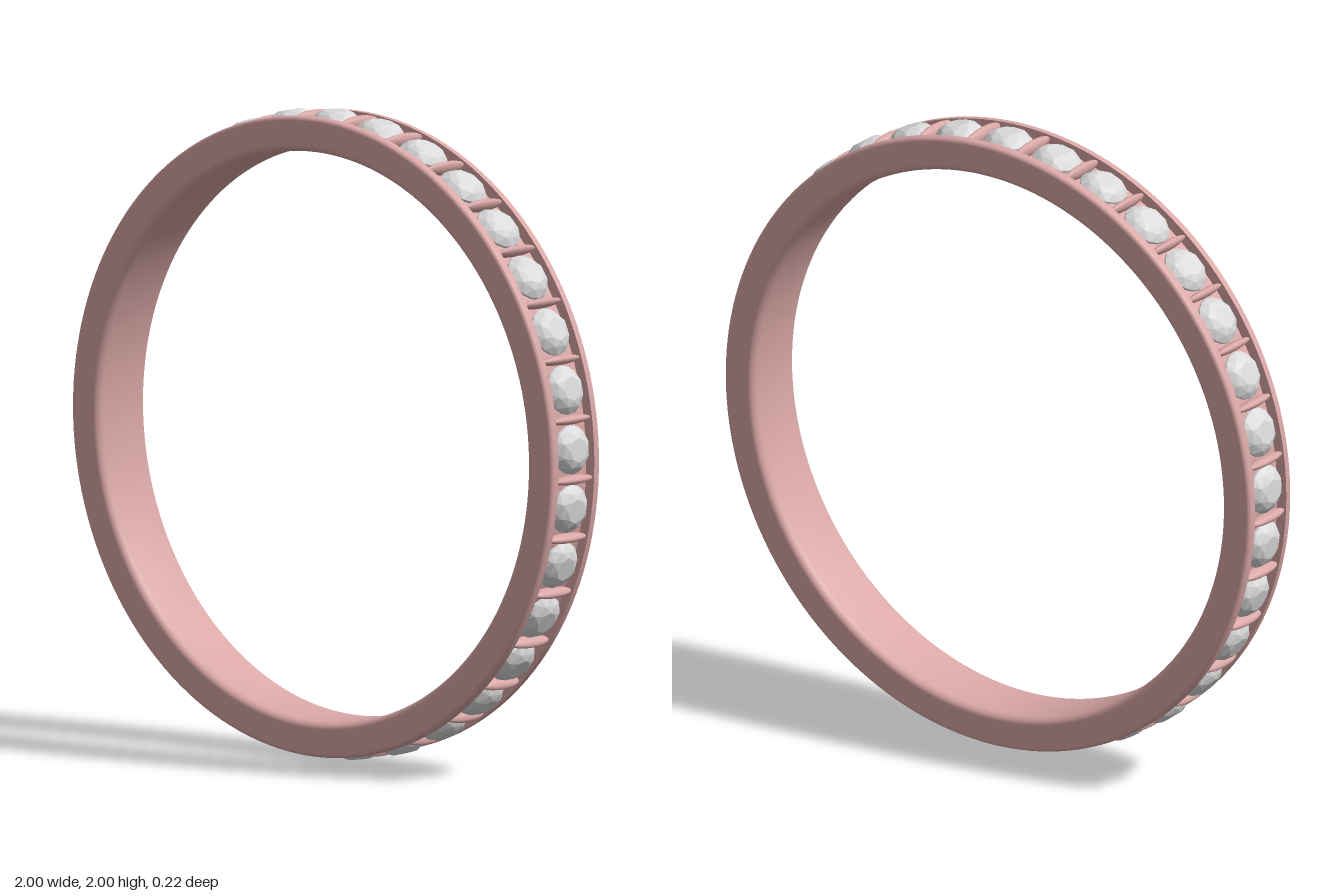
import * as THREE from 'three';
import { ConvexGeometry } from 'three/addons/geometries/ConvexGeometry.js';

const GEMS = 33;
const CENTER_Y = 0.998;
const RIM = 0.989, INNER = 0.876, FLOOR = 0.955; // radii
const HALF = 0.112, CHANNEL = 0.082; // half widths along z

// Points of an elliptical quarter fillet in (radius, z)
function fillet(cx, cz, rx, rz, from, to, steps = 8) {
  return Array.from({ length: steps + 1 }, (_, i) => {
    const a = from + (to - from) * i / steps;
    return new THREE.Vector2(cx + rx * Math.cos(a), cz + rz * Math.sin(a));
  });
}

// Round-cut stone: table, crown points, girdle and a short pavilion
function gemGeometry() {
  const points = [];
  const ring = (n, radius, h, turn) => {
    for (let i = 0; i < n; i++) {
      const a = (i + turn) / n * Math.PI * 2;
      points.push(new THREE.Vector3(radius * Math.cos(a), h, radius * Math.sin(a)));
    }
  };
  ring(8, 0.038, 0.034, 0);
  ring(8, 0.059, 0.024, 0.5);
  ring(16, 0.076, 0.004, 0);
  ring(16, 0.076, -0.003, 0);
  points.push(new THREE.Vector3(0, -0.05, 0));
  return new ConvexGeometry(points);
}

export function createModel() {
  const model = new THREE.Group();
  const roseGold = new THREE.MeshStandardMaterial({ color: 0xd9a7a6 });
  roseGold.name = 'rose gold';
  const stone = new THREE.MeshStandardMaterial({ color: 0xdadada });
  stone.name = 'clear stone';

  const ring = new THREE.Group();
  ring.name = 'ring';
  ring.position.y = CENTER_Y;
  model.add(ring);

  const revolve = (name, profile) => {
    const geometry = new THREE.LatheGeometry(profile, 160);
    geometry.rotateX(Math.PI / 2);
    const mesh = new THREE.Mesh(geometry, roseGold);
    mesh.name = name;
    ring.add(mesh);
  };
  const v = (r, z) => new THREE.Vector2(r, z);

  // Band: rounded rims, flat sides and a softly rounded inside
  const quarter = Math.PI / 2;
  const upper = [
    v(RIM, CHANNEL),
    ...fillet(RIM - 0.014, HALF - 0.014, 0.014, 0.014, 0, quarter),
    v(RIM - 0.018, HALF), v(INNER + 0.031, HALF),
    ...fillet(INNER + 0.027, HALF - 0.03, 0.023, 0.03, quarter, 2 * quarter),
    v(INNER + 0.001, 0.04), v(INNER, 0),
  ];
  const lower = upper.slice(0, -1).reverse().map(p => v(p.x, -p.y));
  revolve('band', [...upper, ...lower]);

  // Stone channel: floor and two walls
  revolve('channelFloor', [v(FLOOR, -CHANNEL), v(FLOOR, CHANNEL)]);
  revolve('channelBackWall', [v(RIM, -CHANNEL), v(FLOOR, -CHANNEL)]);
  revolve('channelFrontWall', [v(FLOOR, CHANNEL), v(RIM, CHANNEL)]);

  // Stones with a tapered bar between each pair
  const gem = gemGeometry();
  const bar = new THREE.SphereGeometry(1, 14, 12);
  bar.rotateX(Math.PI / 2);
  bar.scale(0.0145, 0.024, 0.088);
  const around = (name, geometry, material, radius, angle) => {
    const mesh = new THREE.Mesh(geometry, material);
    mesh.name = name;
    mesh.position.set(Math.sin(angle) * radius, Math.cos(angle) * radius, 0);
    mesh.rotation.z = -angle;
    ring.add(mesh);
  };
  for (let i = 0; i < GEMS; i++) {
    const step = Math.PI * 2 / GEMS;
    around('stone', gem, stone, 0.967, i * step);
    around('bar', bar, roseGold, 0.974, (i + 0.5) * step);
  }
  return model;
}
